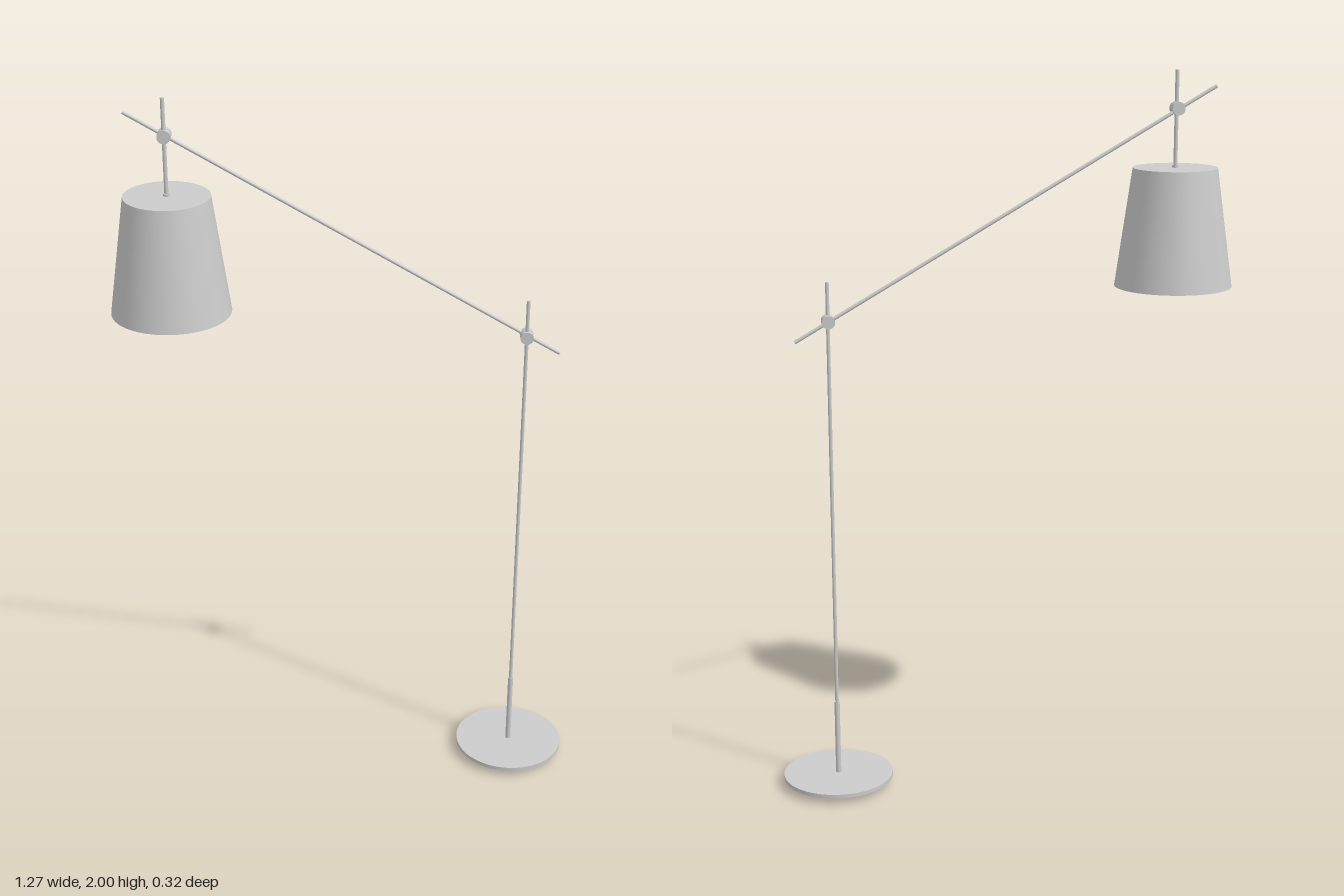
import * as THREE from 'three';

const material = new THREE.MeshStandardMaterial({ color: 0xcccccc });
const shadeMaterial = new THREE.MeshStandardMaterial({ color: 0xcccccc, side: THREE.DoubleSide });

const POLE_X = 0.479, SHADE_X = -0.476, ARM_Z = -0.016;

export function createModel() {
  const lamp = new THREE.Group();
  lamp.name = 'floorLamp';

  function add(name, geometry, x, y, z = 0, mat = material, parent = lamp) {
    const mesh = new THREE.Mesh(geometry, mat);
    mesh.name = name;
    mesh.position.set(x, y, z);
    parent.add(mesh);
    return mesh;
  }

  // Upright cylinder between two heights
  function upright(name, x, r, y0, y1, sides = 24) {
    return add(name, new THREE.CylinderGeometry(r, r, y1 - y0, sides), x, (y0 + y1) / 2);
  }

  // Base: wide plate on a smaller foot
  upright('baseFoot', POLE_X, 0.115, 0, 0.018, 64);
  upright('basePlate', POLE_X, 0.155, 0.018, 0.029, 64);

  // Pole with its thicker lower sleeve
  upright('poleSleeve', POLE_X, 0.0075, 0.029, 0.245);
  upright('pole', POLE_X, 0.005, 0.245, 1.45);

  // Slanted arm, running behind the pole
  const start = new THREE.Vector3(-0.582, 1.957, ARM_Z);
  const end = new THREE.Vector3(0.571, 1.291, ARM_Z);
  const dir = end.clone().sub(start);
  const arm = add('arm', new THREE.CylinderGeometry(0.005, 0.005, dir.length(), 24), 0, 0);
  arm.position.copy(start).add(end).multiplyScalar(0.5);
  arm.quaternion.setFromUnitVectors(new THREE.Vector3(0, 1, 0), dir.normalize());

  // Swivel clamps: two drums and a thin pin, one drum on each rod
  for (const [name, x, y] of [['poleClamp', POLE_X, 1.344], ['shadeClamp', SHADE_X, 1.898]]) {
    const clamp = new THREE.Group();
    clamp.name = name;
    clamp.position.set(x, y, 0);
    lamp.add(clamp);
    for (const [part, r, depth, z] of [
      ['frontDrum', 0.018, 0.018, 0.001],
      ['rearDrum', 0.018, 0.016, -0.018],
      ['pin', 0.012, 0.008, -0.009],
    ]) {
      const geometry = new THREE.CylinderGeometry(r, r, depth, 32).rotateX(Math.PI / 2);
      add(part, geometry, 0, 0, z, material, clamp);
    }
  }

  // Hanging rod and collar
  upright('shadeRod', SHADE_X, 0.0055, 1.738, 2);
  upright('shadeCollar', SHADE_X, 0.009, 1.736, 1.744);

  // Tapered shade, closed at the top and open below
  add('shade', new THREE.CylinderGeometry(0.116, 0.162, 0.325, 64, 1, true), SHADE_X, 1.5755, 0, shadeMaterial);
  add('shadeTop', new THREE.CircleGeometry(0.116, 64).rotateX(-Math.PI / 2), SHADE_X, 1.738, 0, shadeMaterial);

  return lamp;
}
